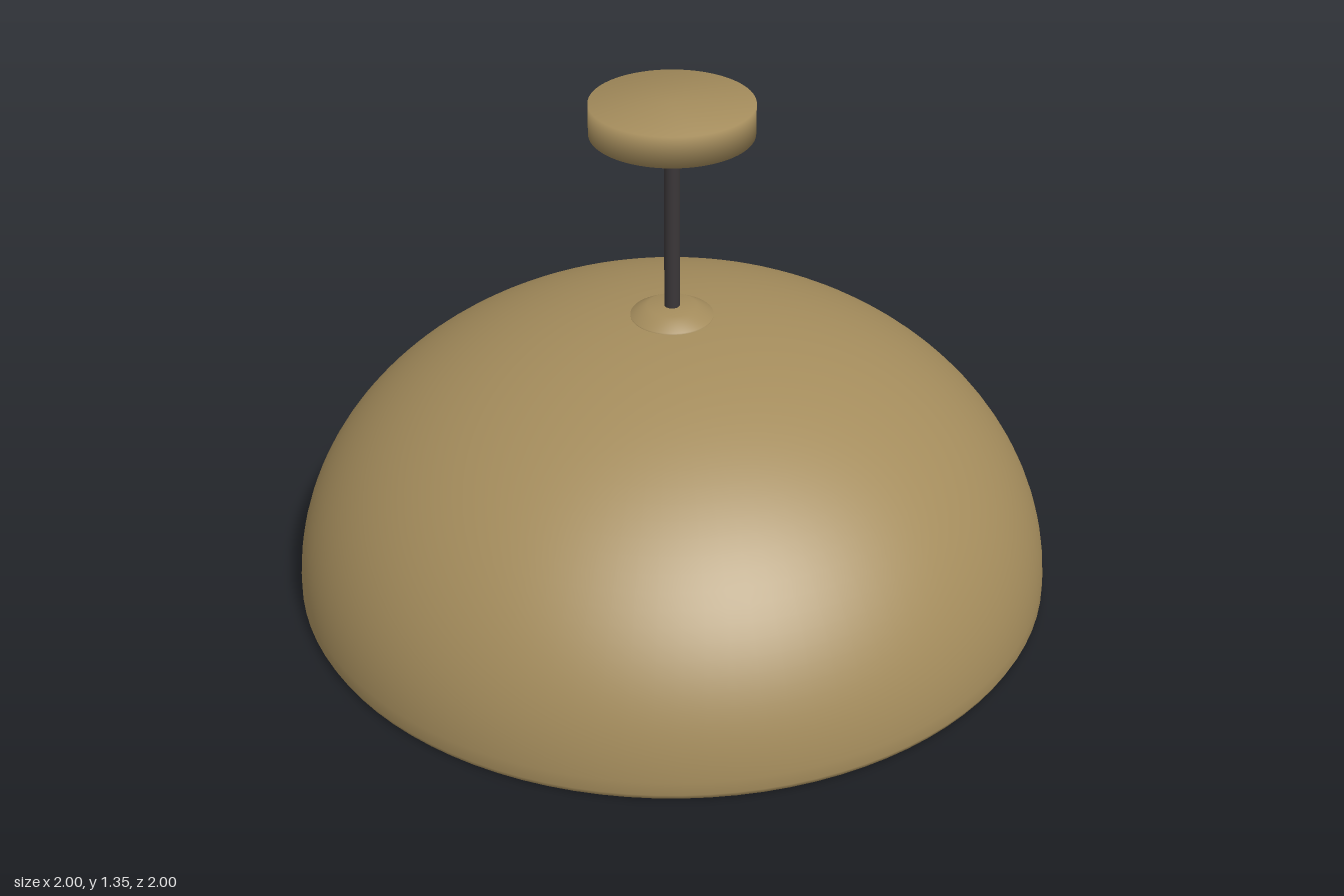
import * as THREE from 'three';

const brass = new THREE.MeshStandardMaterial({ color: 0xa48c5c, side: THREE.DoubleSide });
const dark = new THREE.MeshStandardMaterial({ color: 0x3a3638 });
const cream = new THREE.MeshStandardMaterial({ color: 0xe8dfc9, side: THREE.DoubleSide });

// Revolve a profile of [radius, height] pairs, listed bottom to top on the outside
function turned(name, profile, material) {
  const points = profile.map(([r, y]) => new THREE.Vector2(r, y));
  const mesh = new THREE.Mesh(new THREE.LatheGeometry(points, 96), material);
  mesh.name = name;
  return mesh;
}

// Quarter ellipse from the rim up to the crown
function quarterEllipse(radius, base, height, steps = 32) {
  return Array.from({ length: steps + 1 }, (_, i) => {
    const a = (i / steps) * Math.PI / 2;
    return [i === steps ? 0 : radius * Math.cos(a), base + height * Math.sin(a)];
  });
}

export function createModel() {
  const lamp = new THREE.Group();
  lamp.name = 'pendantLamp';

  // Thin half-dome shade: inner skin down to the lip, then the outer skin up
  const inner = quarterEllipse(0.985, 0.01, 0.735).reverse();
  const outer = quarterEllipse(1, 0.015, 0.743);
  lamp.add(turned('shade', [...inner, [0.985, 0], [0.993, 0], ...outer], brass));

  // Flat diffuser just inside the rim
  lamp.add(turned('diffuser', [[0, 0.074], [0.94, 0.075], [0, 0.076]], cream));

  // Tapered collar where the rod meets the shade
  lamp.add(turned('collar', [[0.107, 0.75], [0.107, 0.757], [0.064, 0.782], [0, 0.782]], brass));

  // Hanging rod
  const rod = new THREE.Mesh(new THREE.CylinderGeometry(0.02, 0.02, 0.52, 24), dark);
  rod.name = 'rod';
  rod.position.y = 1.01;
  lamp.add(rod);

  // Ceiling canopy with a shallow conical underside
  lamp.add(turned('canopy', [[0, 1.243], [0.207, 1.264], [0.207, 1.345], [0, 1.345]], brass));

  return lamp;
}
